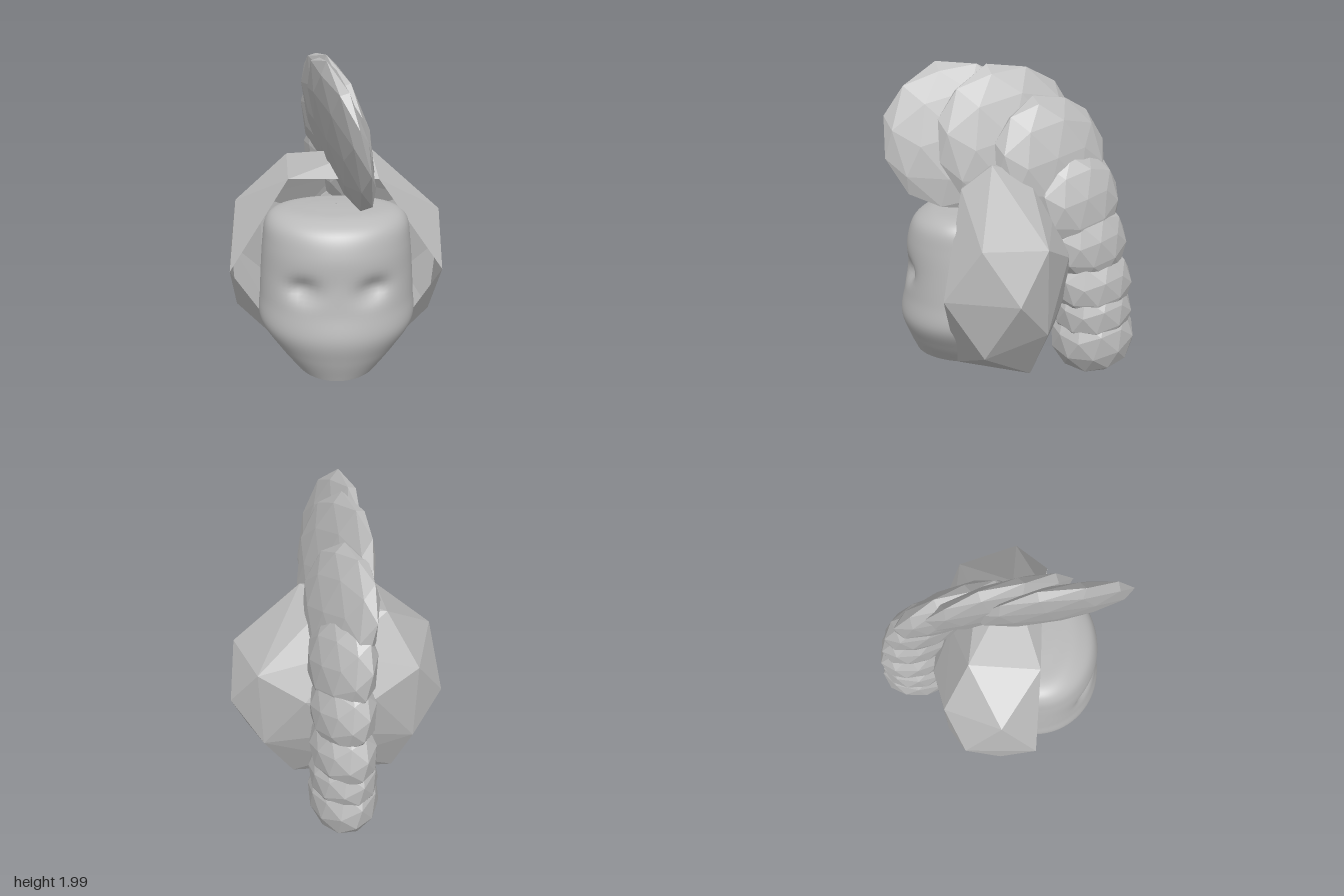
import * as THREE from 'three';
import { ConvexGeometry } from 'three/addons/geometries/ConvexGeometry.js';

const grey = new THREE.MeshStandardMaterial({ color: 0xb9b9b9, side: THREE.DoubleSide });
grey.name = 'plain grey';

function part(name, geometry) {
  const mesh = new THREE.Mesh(geometry, grey);
  mesh.name = name;
  return mesh;
}

// Faceted hood: a convex shell with its front faces left out
function makeHood() {
  const points = [
    // six-cornered front rim
    [0.64, 0.72, 0.335], [0.25, 1.28, 0.29], [-0.28, 1.29, 0.31],
    [-0.64, 0.72, 0.335], [-0.26, 0.15, 0.335], [0.27, 0.15, 0.335],
    // widest ring
    [0.675, 0.72, -0.11], [0.64, 1.03, 0.11], [0.21, 1.42, 0.11], [-0.3, 1.33, -0.11],
    [-0.61, 1.1, 0.11], [-0.675, 0.72, -0.11], [-0.63, 0.4, 0.11], [-0.37, 0.11, -0.13], [0, 0, 0.11],
    [0.3, 0.11, -0.13], [0.6, 0.35, 0.11], [0.1, 1.35, -0.1],
    // back
    [0.49, 1.0, -0.25], [-0.49, 1.0, -0.25], [0, 1.13, -0.25], [0.48, 0.47, -0.25], [-0.48, 0.47, -0.25],
    [0, 0.33, -0.27], [0.21, 0.86, -0.355], [-0.21, 0.86, -0.355], [0, 0.6, -0.355],
  ].map((p) => new THREE.Vector3(...p));
  const hull = new ConvexGeometry(points).getAttribute('position');
  const kept = [];
  for (let i = 0; i < hull.count; i += 3) {
    if (Math.min(hull.getZ(i), hull.getZ(i + 1), hull.getZ(i + 2)) > 0.28) continue;
    for (let j = i; j < i + 3; j++) kept.push(hull.getX(j), hull.getY(j), hull.getZ(j));
  }
  const geometry = new THREE.BufferGeometry();
  geometry.setAttribute('position', new THREE.Float32BufferAttribute(kept, 3));
  geometry.computeVertexNormals();
  return part('hood', geometry);
}

// Smooth head: elliptical rings (half width, y, front z), pressed in at the eyes
const headProfile = new THREE.CatmullRomCurve3([
  [0.27, 0.15, 0.65], [0.38, 0.29, 0.7], [0.47, 0.44, 0.735], [0.465, 0.6, 0.705], [0.455, 0.76, 0.685],
  [0.44, 0.93, 0.675], [0.42, 1.05, 0.63], [0.36, 1.11, 0.54], [0.18, 1.13, 0.42], [0.005, 1.135, 0.305],
].map((p) => new THREE.Vector3(...p)));

function makeHead() {
  const around = 72, up = 60, mid = 0.3;
  const positions = [], index = [];
  for (let j = 0; j <= up; j++) {
    const { x: width, y, z: front } = headProfile.getPoint(j / up);
    for (let i = 0; i < around; i++) {
      const a = (i / around) * Math.PI * 2;
      const x = width * Math.sin(a), c = Math.cos(a);
      let z = mid + c * (c > 0 ? front - mid : width * 0.6);
      const dx = (Math.abs(x) - 0.2) / 0.085, dy = (y - 0.73) / 0.065;
      if (c > 0) z -= 0.06 * Math.exp(-dx * dx - dy * dy);
      positions.push(x, y, z);
      if (j < up) {
        const p = j * around + i, q = j * around + ((i + 1) % around);
        index.push(p, q, q + around, p, q + around, p + around);
      }
    }
  }
  const geometry = new THREE.BufferGeometry();
  geometry.setAttribute('position', new THREE.Float32BufferAttribute(positions, 3));
  geometry.setIndex(index);
  geometry.computeVertexNormals();

  // flat underside, facing down
  const outline = [];
  for (let i = 0; i < around; i++) outline.push(new THREE.Vector2(positions[i * 3], positions[i * 3 + 2]));
  const base = new THREE.ShapeGeometry(new THREE.Shape(outline)).rotateX(Math.PI / 2).translate(0, 0.15, 0);
  const head = new THREE.Group();
  head.name = 'head';
  head.add(part('face', geometry), part('chinBase', base));
  return head;
}

// Twisted crest and tail: tilted, flattened lobes [x, y, z, thickness, height, depth, turn]
const lobes = [
  [0.02, 1.555, 0.34, 0.085, 0.47, 0.465, 0.27],
  [0.01, 1.54, 0.03, 0.09, 0.47, 0.45, 0.4],
  [0.0, 1.42, -0.225, 0.11, 0.4, 0.37, 0.5],
  [0.0, 1.17, -0.39, 0.14, 0.32, 0.29, 0.56],
  [0.0, 0.9, -0.47, 0.16, 0.27, 0.26, 0.56],
  [0.0, 0.63, -0.505, 0.18, 0.25, 0.265, 0.5],
  [0.0, 0.44, -0.51, 0.2, 0.24, 0.26, 0.4],
  [0.0, 0.27, -0.51, 0.21, 0.265, 0.28, 0.3],
];

function makeCrest() {
  const crest = new THREE.Group();
  crest.name = 'crestAndTail';
  lobes.forEach(([x, y, z, thick, high, deep, turn], i) => {
    const normal = new THREE.Vector3(1, 0.27, -turn).normalize();
    const geometry = new THREE.IcosahedronGeometry(1, 1);
    geometry.rotateX(0.3);
    geometry.scale(thick, high, deep);
    geometry.applyQuaternion(new THREE.Quaternion().setFromUnitVectors(new THREE.Vector3(1, 0, 0), normal));
    geometry.translate(x, y, z);
    geometry.computeVertexNormals();
    crest.add(part('crestLobe' + (i + 1), geometry));
  });
  return crest;
}

export function createModel() {
  const model = new THREE.Group();
  model.name = 'hoodedHead';
  model.add(makeHood(), makeHead(), makeCrest());
  return model;
}
